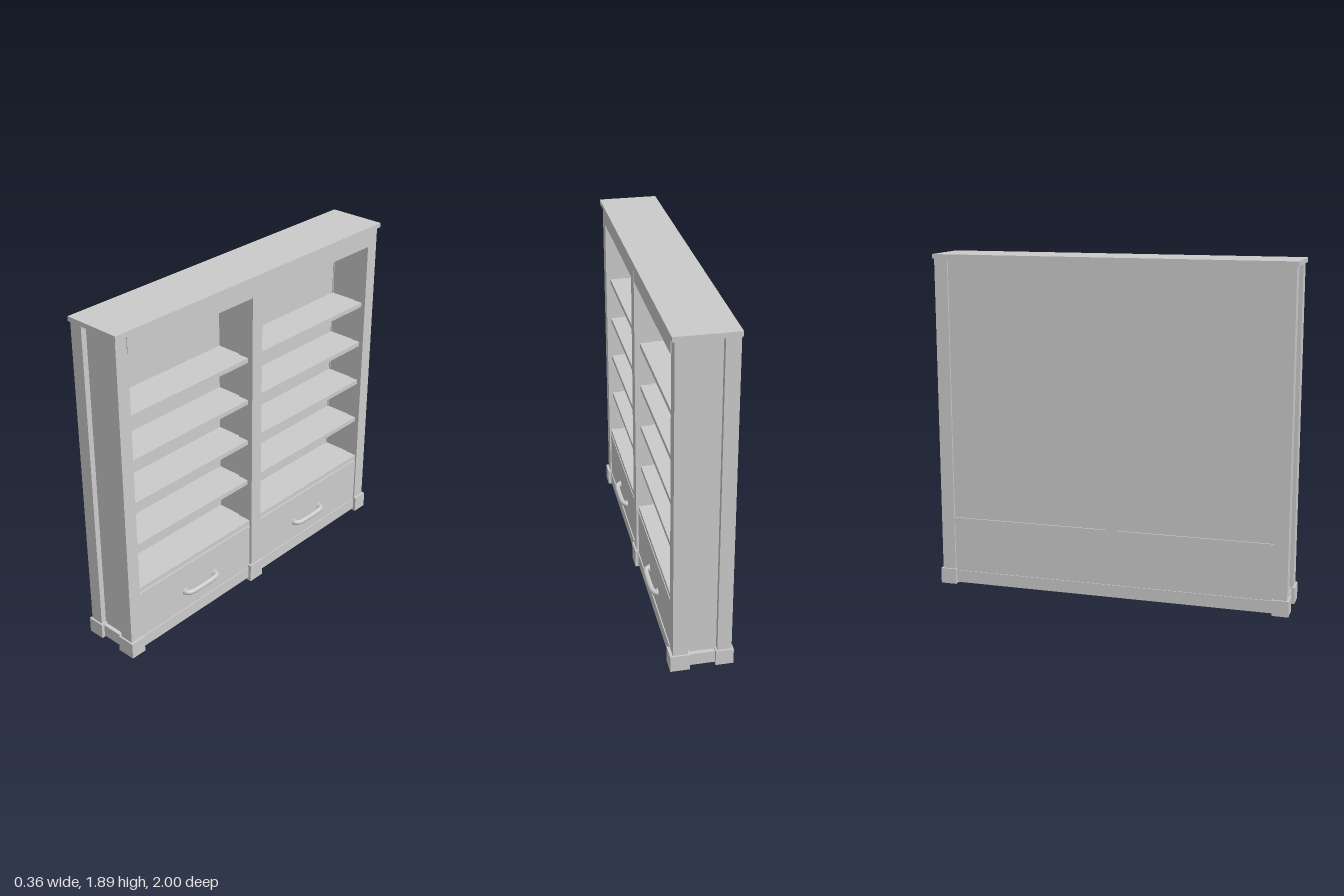
import * as THREE from 'three';

const material = new THREE.MeshStandardMaterial({ color: 0xcccccc });

// Box given by its limits on each axis
function box(group, name, [x0, x1], [y0, y1], [z0, z1]) {
  const mesh = new THREE.Mesh(new THREE.BoxGeometry(x1 - x0, y1 - y0, z1 - z0), material);
  mesh.position.set((x0 + x1) / 2, (y0 + y1) / 2, (z0 + z1) / 2);
  mesh.name = name;
  group.add(mesh);
  return mesh;
}

// Limits on z, mirrored for the other end
const ends = (side, a, b) => (side > 0 ? [a, b] : [-b, -a]);

// Bent bar handle with a round collar at each end
function makeHandle() {
  const handle = new THREE.Group();
  handle.name = 'drawerHandle';
  const path = new THREE.CatmullRomCurve3([
    [0, -0.118], [0.012, -0.116], [0.025, -0.1], [0.03, -0.07],
    [0.03, 0.07], [0.025, 0.1], [0.012, 0.116], [0, 0.118],
  ].map(([x, z]) => new THREE.Vector3(x, 0, z)));
  const bar = new THREE.Mesh(new THREE.TubeGeometry(path, 40, 0.015, 14), material);
  bar.name = 'handleBar';
  handle.add(bar);
  for (const side of [-1, 1]) {
    const collar = new THREE.Mesh(new THREE.CylinderGeometry(0.02, 0.022, 0.012, 20), material);
    collar.rotation.z = -Math.PI / 2;
    collar.position.set(0.004, 0, side * 0.115);
    collar.name = 'handleCollar';
    handle.add(collar);
  }
  return handle;
}

export function createModel() {
  const model = new THREE.Group();
  model.name = 'bookcase';

  // Top board, head rail, plinth and back
  box(model, 'topBoard', [-0.175, 0.155], [1.865, 1.89], [-1, 1]);
  box(model, 'headRail', [0.11, 0.144], [1.77, 1.865], [-0.92, 0.92]);
  box(model, 'plinth', [-0.163, 0.138], [0.02, 0.09], [-0.95, 0.95]);
  box(model, 'backPanel', [-0.158, -0.1], [0.09, 1.865], [-0.95, 0.95]);

  // Ends: two stiles, a recessed panel and base blocks
  for (const side of [-1, 1]) {
    box(model, 'frontStile', [0.06, 0.14], [0.05, 1.865], ends(side, 0.915, 0.99));
    box(model, 'backStile', [-0.17, -0.095], [0.05, 1.865], ends(side, 0.915, 0.99));
    box(model, 'endPanel', [-0.1, 0.065], [0.05, 1.865], ends(side, 0.92, 0.96));
    box(model, 'endSkirt', [-0.09, 0.055], [0.02, 0.09], ends(side, 0.92, 0.982));
    box(model, 'frontFoot', [0.05, 0.155], [0.007, 0.1], ends(side, 0.91, 1));
    box(model, 'backFoot', [-0.18, -0.085], [0.012, 0.1], ends(side, 0.91, 1));
  }

  // Centre post, divider and foot
  box(model, 'centrePost', [0.05, 0.145], [0.05, 1.866], [-0.02, 0.055]);
  box(model, 'centreDivider', [-0.11, 0.06], [0.09, 1.865], [-0.012, 0.047]);
  box(model, 'centreFoot', [0.05, 0.155], [0, 0.105], [-0.03, 0.07]);

  // Two bays of shelves, each over a drawer
  const bays = [[0.047, 0.92], [-0.92, -0.012]];
  const handleCentres = [0.46, -0.455];
  bays.forEach((bay, i) => {
    for (const y of [0.64, 0.895, 1.145, 1.395]) {
      box(model, 'shelf', [-0.11, 0.115], [y, y + 0.026], bay);
    }
    box(model, 'drawerTopShelf', [-0.166, 0.13], [0.378, 0.405], bay);
    box(model, 'drawerFront', [0.09, 0.132], [0.09, 0.37], bay);
    const handle = makeHandle();
    handle.position.set(0.13, 0.2, handleCentres[i]);
    model.add(handle);
  });

  return model;
}
